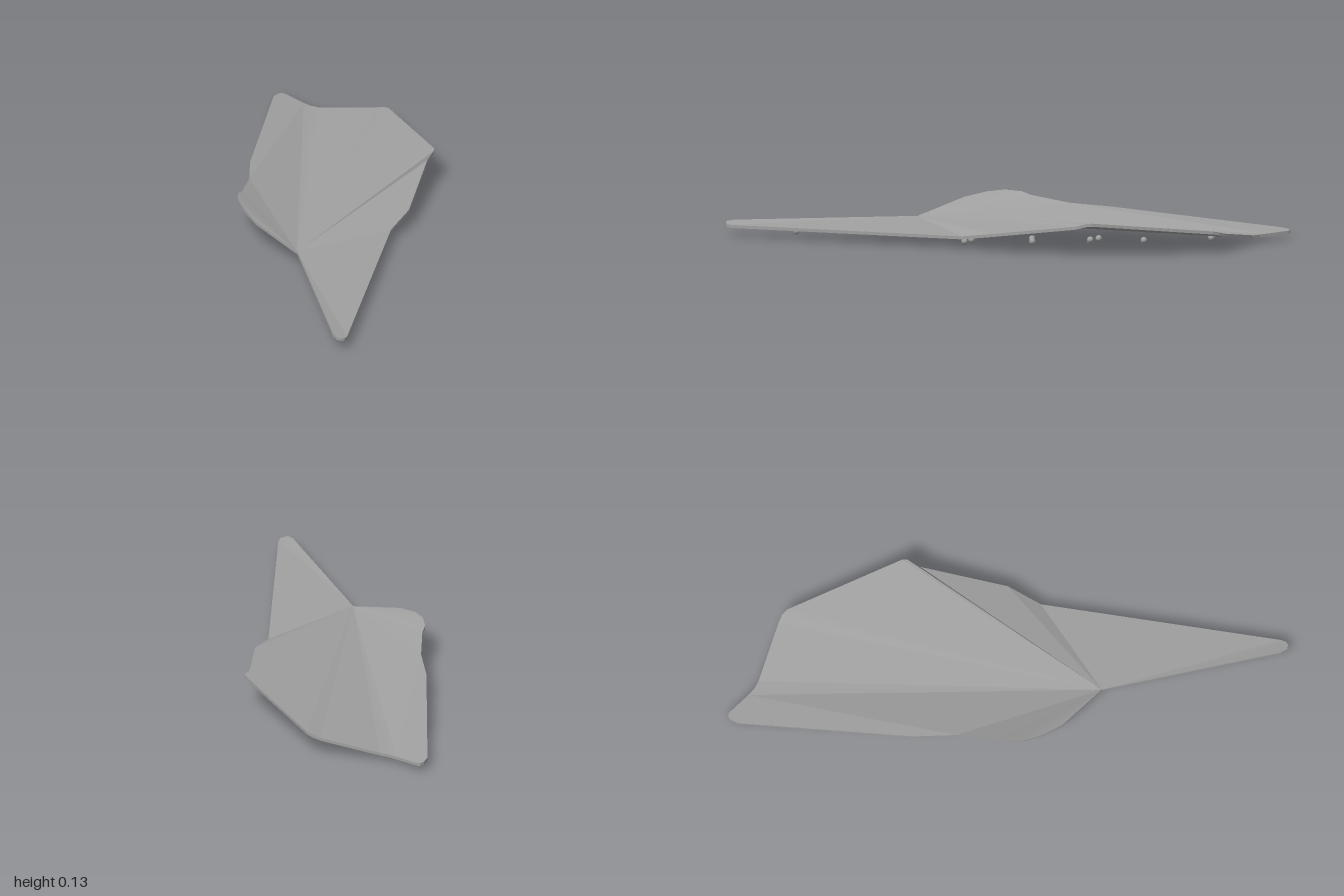
import * as THREE from 'three';

// Outline (x, z), clockwise from above, split at the notch and the rear bay
const BAY = [0, -0.915];
const NOTCH = [-0.21, 0.32];
const rightEdge = [
  [0.02, -0.89], [0.045, -0.87], [0.235, -0.765], [0.26, -0.747], [0.275, -0.725],
  [0.373, -0.295], [0.37, -0.277], [0.34, -0.235], [0.23, 0.06], [0.15, 0.165],
  [-0.13, 0.98], [-0.142, 0.997], [-0.155, 1.0], [-0.17, 0.995], [-0.18, 0.97],
];
const leftEdge = [
  [-0.335, 0.155], [-0.365, 0.075], [-0.375, 0.01], [-0.366, -0.05], [-0.345, -0.085], [-0.3, -0.22],
];
const tailEdge = [
  [-0.275, -0.37], [-0.1, -0.97], [-0.08, -0.995], [-0.066, -1.0], [-0.055, -0.995],
];

const THICKNESS = 0.011;
const bend = (x) => 0.018 + 0.7 * x * x; // underside height of the bowed plate

function plateGeometry() {
  const pos = [];
  const point = ([x, z], top) => [x, bend(x) + (top ? THICKNESS : 0), z];
  const tri = (a, b, c) => pos.push(...a, ...b, ...c);
  // One flat facet on the top and its twin on the underside
  const facet = (a, b, c) => {
    tri(point(a, true), point(c, true), point(b, true));
    tri(point(a, false), point(b, false), point(c, false));
  };
  const fan = (hub, pts) => {
    for (let i = 0; i < pts.length - 1; i++) facet(hub, pts[i], pts[i + 1]);
  };
  const shoulder = leftEdge[leftEdge.length - 1];
  fan(NOTCH, [BAY, ...rightEdge]);
  fan(NOTCH, [...leftEdge, BAY]);
  fan(BAY, [shoulder, ...tailEdge]);

  // Rim wall
  const ring = [BAY, ...rightEdge, NOTCH, ...leftEdge, ...tailEdge];
  ring.forEach((p, i) => {
    const q = ring[(i + 1) % ring.length];
    tri(point(p, false), point(p, true), point(q, true));
    tri(point(p, false), point(q, true), point(q, false));
  });

  const g = new THREE.BufferGeometry();
  g.setAttribute('position', new THREE.Float32BufferAttribute(pos, 3));
  g.computeVertexNormals();
  return g;
}

// Small round studs under the plate (x, z)
const studs = [
  [0.242, -0.32], [0.21, -0.29], [0.195, -0.48], [-0.021, -0.72], [0.137, -0.085],
  [0.075, -0.29], [-0.124, -0.49], [-0.14, -0.45], [-0.2, -0.315], [-0.235, -0.15],
  [-0.006, -0.085], [0.09, 0.155], [0.022, 0.13], [-0.075, 0.34], [-0.115, 0.75],
];

export function createModel() {
  const model = new THREE.Group();
  const grey = new THREE.MeshStandardMaterial({ color: 0xa0a0a0 });
  grey.name = 'grey';

  const plate = new THREE.Mesh(plateGeometry(), grey);
  plate.name = 'bowedPlate';
  model.add(plate);

  const studGroup = new THREE.Group();
  studGroup.name = 'undersideStuds';
  const ball = new THREE.SphereGeometry(0.0115, 12, 8);
  studs.forEach(([x, z]) => {
    const stud = new THREE.Mesh(ball, grey);
    stud.name = 'stud';
    stud.position.set(x, bend(x) - 0.0065, z);
    studGroup.add(stud);
  });
  model.add(studGroup);
  return model;
}
